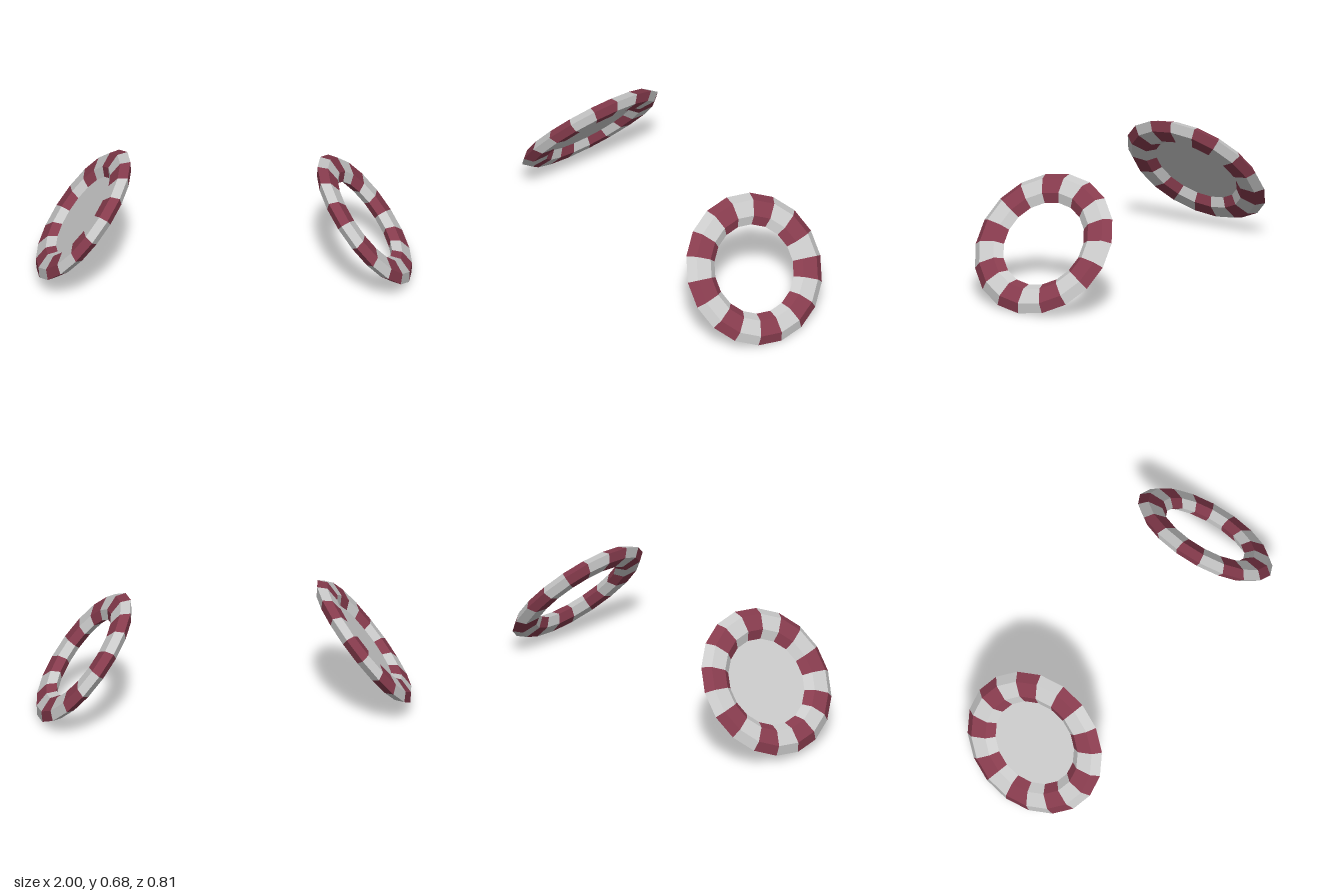
import * as THREE from 'three';
import { mergeGeometries } from 'three/addons/utils/BufferGeometryUtils.js';

const SEGMENTS = 18, RADIUS = 0.324, TUBE = 0.085, FLATTEN = 0.5, TILT = 0.658;
const STEP = (Math.PI * 2) / SEGMENTS;

const grey = new THREE.MeshStandardMaterial({ color: 0xcccccc, flatShading: true });
const maroon = new THREE.MeshStandardMaterial({ color: 0x883c4e, flatShading: true });
const sheet = new THREE.MeshStandardMaterial({ color: 0xcccccc, flatShading: true, side: THREE.DoubleSide });

// Every second segment of a flattened six-sided ring, axis along x, first one starting at the top
function stripes(first) {
  const parts = [];
  for (let k = first; k < SEGMENTS; k += 2) {
    parts.push(new THREE.TorusGeometry(RADIUS, TUBE, 6, 1, STEP).rotateZ(Math.PI / 2 + k * STEP));
  }
  return mergeGeometries(parts).scale(1, 1, FLATTEN).rotateY(Math.PI / 2);
}

function addMesh(parent, name, geometry, material) {
  const mesh = new THREE.Mesh(geometry, material);
  mesh.name = name;
  parent.add(mesh);
}

function makeRing(name, x, y, tilt) {
  const ring = new THREE.Group();
  ring.name = name;
  addMesh(ring, 'maroonStripes', stripes(0), maroon);
  addMesh(ring, 'greyStripes', stripes(1), grey);
  ring.position.set(x, y, 0);
  ring.rotation.z = tilt;
  return ring;
}

export function createModel() {
  const model = new THREE.Group();
  model.name = 'stripedRings';

  // Open ring
  model.add(makeRing('leftRing', 0.746, 0.326, TILT));

  // Ring closed by a thin flat membrane
  const closed = makeRing('rightRing', -0.75, 0.36, -TILT);
  const disc = new THREE.CircleGeometry(0.27, SEGMENTS, Math.PI / 2).rotateY(Math.PI / 2);
  addMesh(closed, 'membrane', disc, sheet);
  model.add(closed);

  return model;
}
